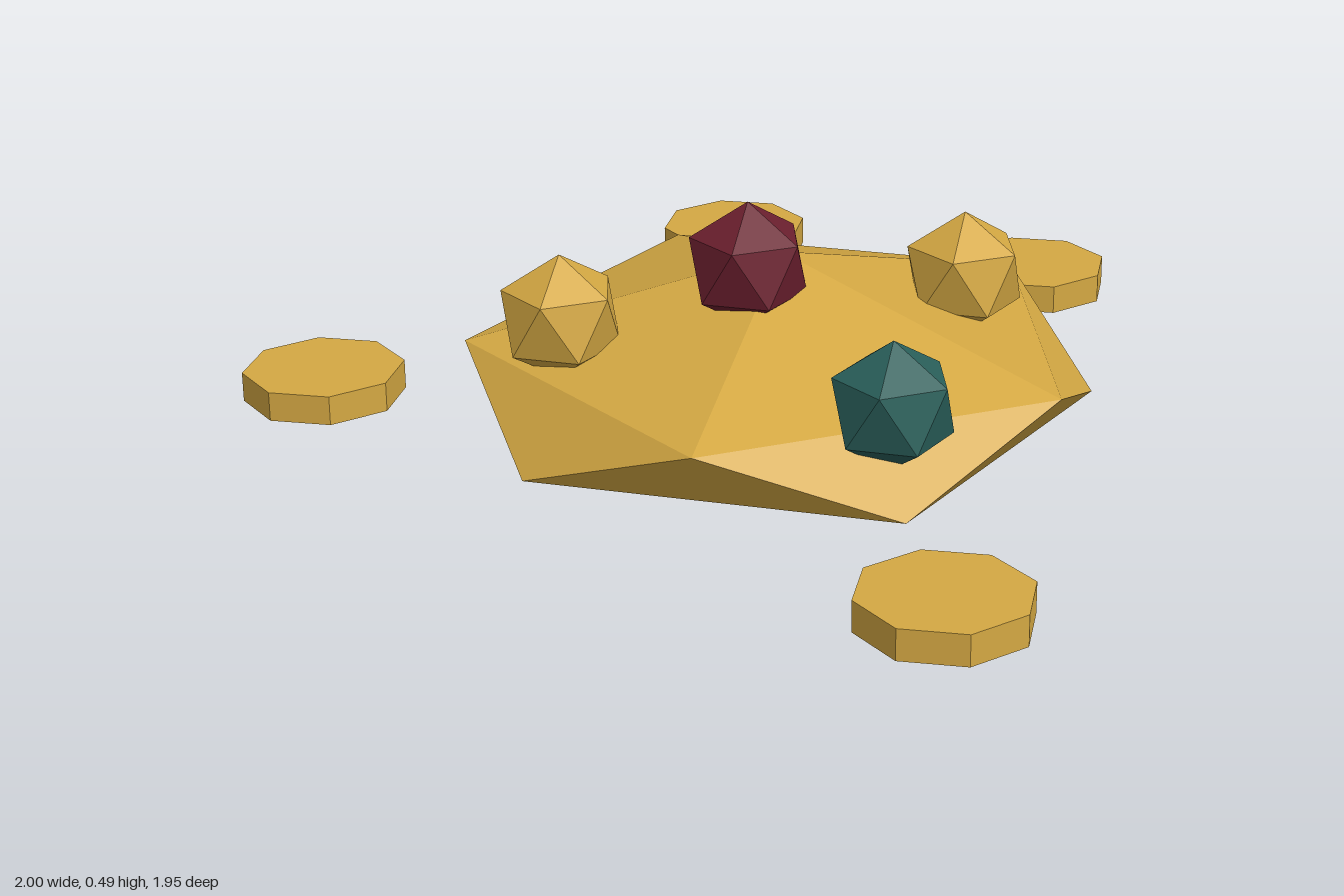
import * as THREE from 'three';

// Twenty-sided faceted solid standing on one tip: apex, two staggered five-point rings, base point.
function facetedSolid(ringRadius, apexY, upperY, lowerY, baseY) {
  const ring = (y, offset) => Array.from({ length: 5 }, (_, i) => {
    const a = (i + offset) * Math.PI * 2 / 5;
    return [ringRadius * Math.cos(a), y, ringRadius * Math.sin(a)];
  });
  const upper = ring(upperY, 0);
  const lower = ring(lowerY, 0.5);
  const apex = [0, apexY, 0];
  const base = [0, baseY, 0];
  const positions = [];
  const face = (a, b, c) => positions.push(...a, ...b, ...c);
  for (let i = 0; i < 5; i++) {
    const n = (i + 1) % 5;
    face(apex, upper[n], upper[i]);
    face(upper[i], upper[n], lower[i]);
    face(lower[i], upper[n], lower[n]);
    face(base, lower[i], lower[n]);
  }
  const geometry = new THREE.BufferGeometry();
  geometry.setAttribute('position', new THREE.Float32BufferAttribute(positions, 3));
  geometry.computeVertexNormals();
  return geometry;
}

function material(name, color) {
  const m = new THREE.MeshStandardMaterial({ color, flatShading: true });
  m.name = name;
  return m;
}

export function createModel() {
  const group = new THREE.Group();
  group.name = 'treasurePile';

  const gold = material('gold', 0xd4a843);
  const ruby = material('rubyRed', 0x6b1f2e);
  const teal = material('deepTeal', 0x2a5f5a);

  const add = (name, geometry, mat, x, y, z) => {
    const mesh = new THREE.Mesh(geometry, mat);
    mesh.name = name;
    mesh.position.set(x, y, z);
    group.add(mesh);
  };

  // Flat-bottomed mound
  add('mound', facetedSolid(0.67, 0.34, 0.155, 0.005, 0), gold, 0.022, 0, 0.097);

  // Gems and nuggets half sunk into the mound
  const r = 0.136;
  const gem = facetedSolid(r * 0.894, r, r * 0.447, -r * 0.447, -r);
  add('rubyGem', gem, ruby, 0.021, 0.351, 0.222);
  add('tealGem', gem, teal, 0.476, 0.201, 0.397);
  add('frontNugget', gem, gold, -0.277, 0.254, 0.473);
  add('backNugget', gem, gold, 0.323, 0.276, -0.153);

  // Loose coins around the mound
  const coin = new THREE.CylinderGeometry(0.173, 0.173, 0.064, 8);
  [[-0.6, -0.65], [0.148, -0.8], [-0.827, 0.597], [0.827, 0.8]].forEach(([x, z], i) =>
    add('coin' + (i + 1), coin, gold, x, 0.032, z));

  return group;
}
